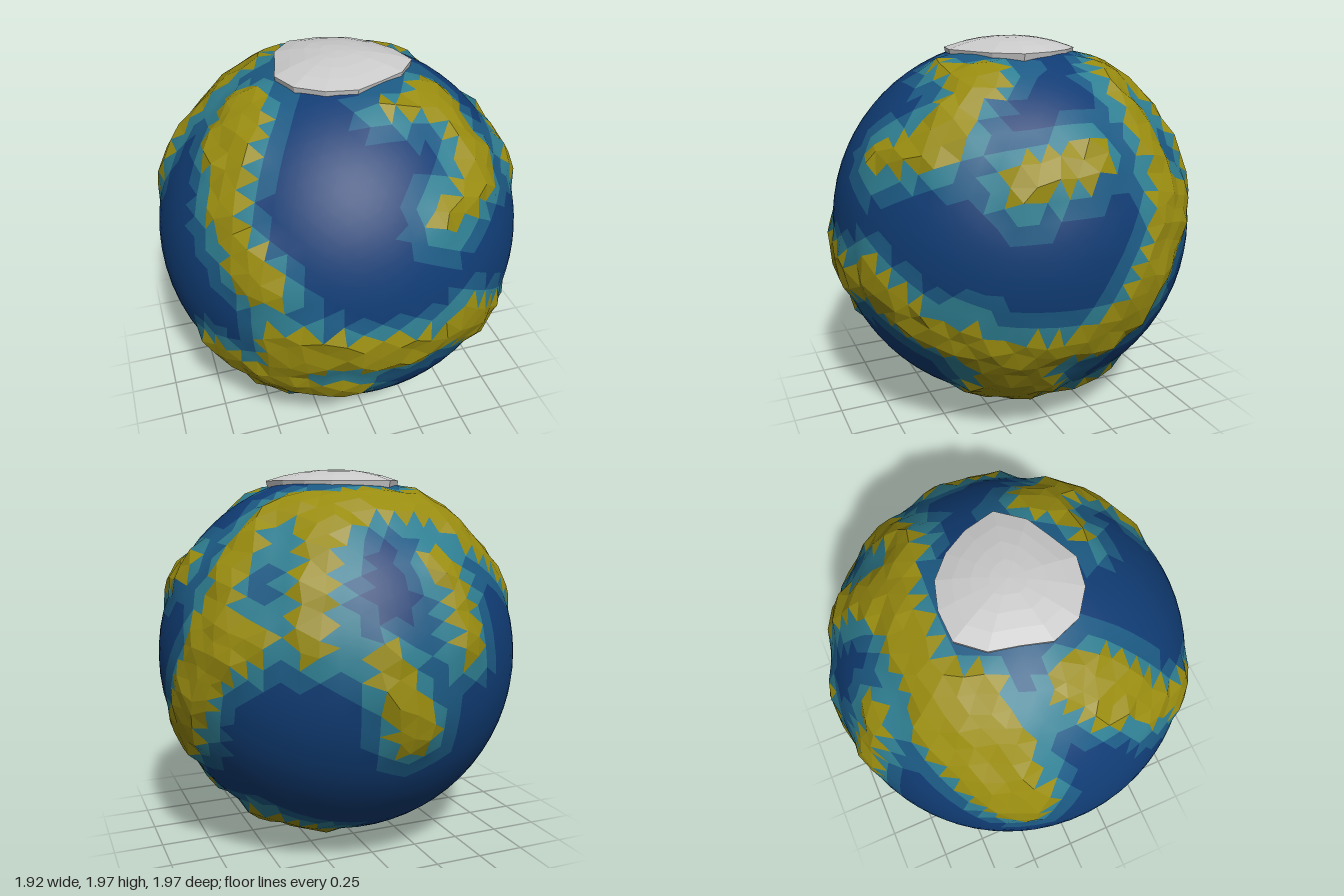
import * as THREE from 'three';
import { mergeVertices } from 'three/addons/utils/BufferGeometryUtils.js';

const CENTRE_Y = 0.985, SEA_R = 0.962, BRUSH = 0.115;

// Land is painted as brush strokes, each a path of u, v on the disc of one side
const SIDES = [
  { from: [1, 1, 1], strokes: [[-0.17, 0.5, 0.07, 0.47, 0, 0.3, 0, 0, -0.38, -0.05]] },
  { from: [1, 0, 0], strokes: [
    [-0.3, 0.42, 0, 0.52],
    [-0.93, -0.1, -0.6, -0.37, -0.1, -0.43, 0.3, -0.27, 0.47, 0.1, 0.38, 0.7],
    [-0.3, -0.55, -0.15, -0.72],
    [0.1, -0.88, 0.33, -0.79],
  ] },
  { from: [0, 0, 1], strokes: [
    [-0.55, -0.1, -0.2, -0.14, 0.15, -0.17],
    [-0.78, -0.36, -0.2, -0.46],
    [-0.45, -0.2, -0.62, -0.55, -0.42, -0.78],
    [-0.6, 0.22, -0.68, 0.33],
    [0.78, -0.3, 0.74, -0.55, 0.42, -0.84],
  ] },
  { from: [-1, 1, -1], strokes: [
    [-0.5, 0.6, 0.06, 0.42, 0, 0.22, 0.27, 0.24, 0.45, -0.22],
    [0.42, 0.6, 0.87, 0.3],
    [-0.5, 0.58, -0.84, 0.25, -0.92, 0.05],
    [-0.4, 0.03, -0.45, -0.35],
  ] },
  { from: [1, -1, -1], strokes: [
    [-0.02, 0.75, -0.38, 0.53, -0.45, 0.3, -0.8, -0.2, -0.35, -0.6, 0.1, -0.45],
    [0.6, 0.55, 0.7, 0.2],
  ] },
  { from: [0, 1, 0], strokes: [
    [-0.85, 0.38, -0.3, 0.56, 0.15, 0.53, 0.45, 0.36],
    [-0.55, -0.08, -0.66, -0.25],
  ] },
];

// Turns the strokes into closely spaced directions on the globe
function landDabs() {
  const dabs = [];
  for (const { from, strokes } of SIDES) {
    const d = new THREE.Vector3(...from).normalize();
    const right = d.y === 1 ? new THREE.Vector3(1, 0, 0)
      : new THREE.Vector3(0, 1, 0).cross(d).normalize();
    const up = d.clone().cross(right);
    const place = (u, v) => d.clone().multiplyScalar(Math.sqrt(Math.max(0, 1 - u * u - v * v)))
      .addScaledVector(right, u).addScaledVector(up, v).normalize();
    for (const uv of strokes) {
      for (let i = 0; i + 3 < uv.length; i += 2) {
        const a = place(uv[i], uv[i + 1]), b = place(uv[i + 2], uv[i + 3]);
        for (let k = 0; k <= 8; k++) dabs.push(a.clone().lerp(b, k / 8).normalize());
      }
    }
  }
  return dabs;
}

// Repeatable noise from a direction, 0 to 1
function noise(p, seed) {
  const s = Math.sin(p.x * 127.1 + p.y * 311.7 + p.z * 74.7 + seed * 19.3) * 4375.85;
  return s - Math.floor(s);
}

// Low dome of ice with a steep rim and an uneven outline
function iceCap(name, angle, radius) {
  const pts = [new THREE.Vector2(Math.sin(angle) * 0.96, Math.cos(angle) * 0.94)];
  for (let i = 4; i >= 0; i--) {
    const a = angle * i / 4;
    pts.push(new THREE.Vector2(Math.sin(a) * radius, Math.cos(a) * radius));
  }
  const geo = new THREE.LatheGeometry(pts, 14);
  const pos = geo.attributes.position;
  for (let i = 0; i < pos.count; i++) {
    const x = pos.getX(i), z = pos.getZ(i), a = Math.atan2(z, x);
    const k = 1 + 0.07 * Math.sin(3 * a + 1) + 0.04 * Math.sin(5 * a);
    pos.setXYZ(i, x * k, pos.getY(i), z * k);
  }
  const cap = new THREE.Mesh(geo, new THREE.MeshStandardMaterial({ color: 0xcccccc, flatShading: true }));
  cap.name = name;
  return cap;
}

export function createModel() {
  const globe = new THREE.Group();
  globe.name = 'globe';
  globe.position.y = CENTRE_Y;

  let geo = new THREE.IcosahedronGeometry(1, 11);
  geo.deleteAttribute('normal');
  geo.deleteAttribute('uv');
  geo = mergeVertices(geo, 1e-4);

  // Raise the land above the sea and note how far each vertex is from the coast
  const dabs = landDabs(), pos = geo.attributes.position;
  const coast = [], p = new THREE.Vector3();
  for (let i = 0; i < pos.count; i++) {
    p.fromBufferAttribute(pos, i).normalize();
    let dist = Math.min(...dabs.map((dab) => p.distanceTo(dab))) - BRUSH;
    dist += (noise(p, 1) - 0.5) * 0.05;
    // Keep a ring of sea around the ice
    if (Math.hypot(p.x, p.z) < (p.y > 0 ? 0.43 : 0.25)) dist = Math.max(dist, 0.1);
    coast.push(dist);
    let height = 0;
    if (dist < 0) {
      height = 0.012 + 0.024 * noise(p, 2);
      const shift = [3, 4, 5].map((seed) => (noise(p, seed) - 0.5) * 0.04);
      p.add(new THREE.Vector3(...shift)).normalize();
    }
    p.multiplyScalar(SEA_R + height);
    pos.setXYZ(i, p.x, p.y, p.z);
  }
  geo.computeVertexNormals();

  // Sort the faces into land and three depths of water
  const layers = [
    { name: 'land', color: 0x998c10, flatShading: true, faces: [] },
    { name: 'shallows', color: 0x2f7f92, flatShading: false, faces: [] },
    { name: 'coastalSea', color: 0x1c5a84, flatShading: false, faces: [] },
    { name: 'deepSea', color: 0x103c74, flatShading: false, faces: [] },
  ];
  const index = geo.index.array;
  for (let f = 0; f < index.length; f += 3) {
    const tri = [index[f], index[f + 1], index[f + 2]];
    const landCorners = tri.filter((i) => coast[i] < 0).length;
    const mean = tri.reduce((sum, i) => sum + coast[i], 0) / 3;
    const layer = landCorners >= 2 ? 0 : mean < 0.06 ? 1 : mean < 0.13 ? 2 : 3;
    layers[layer].faces.push(...tri);
  }
  for (const { name, color, flatShading, faces } of layers) {
    const part = new THREE.BufferGeometry();
    part.setAttribute('position', pos);
    part.setAttribute('normal', geo.attributes.normal);
    part.setIndex(faces);
    const mesh = new THREE.Mesh(part, new THREE.MeshStandardMaterial({ color, flatShading }));
    mesh.name = name;
    globe.add(mesh);
  }

  const northIce = iceCap('northIce', 0.35, 0.985);
  const southIce = iceCap('southIce', 0.21, 0.98);
  for (const cap of [northIce, southIce]) cap.material.side = THREE.DoubleSide;
  southIce.rotation.x = Math.PI;
  globe.add(northIce, southIce);

  const model = new THREE.Group();
  model.add(globe);
  return model;
}
